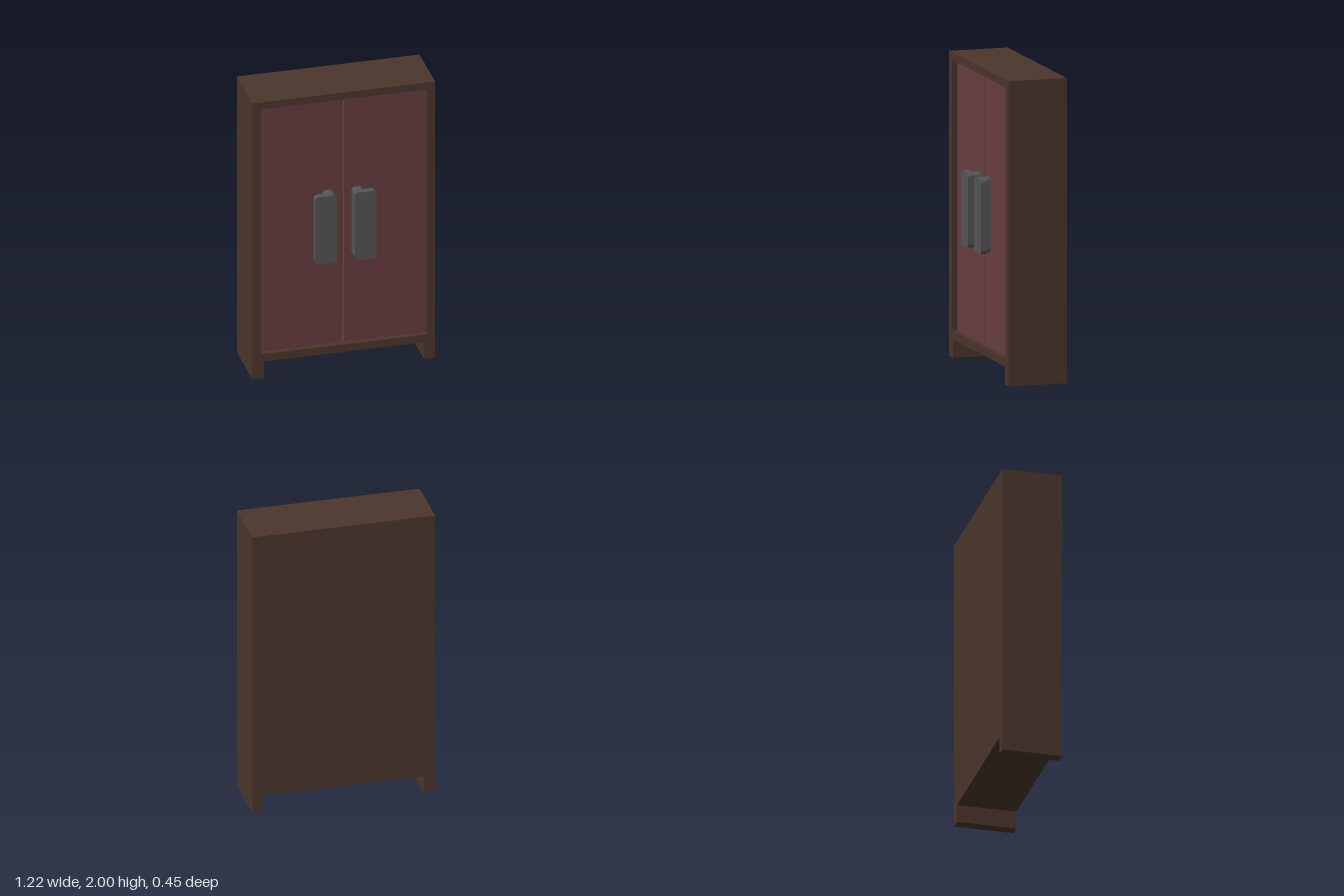
import * as THREE from 'three';

const wood = new THREE.MeshStandardMaterial({ color: 0x4b362c });
const red = new THREE.MeshStandardMaterial({ color: 0x683e40 });
const metal = new THREE.MeshStandardMaterial({ color: 0x555555 });

const W = 0.61, BACK = -0.225, FRONT = 0.172;      // carcass half width and depth limits
const IN = 0.555, LOW = 0.175, HIGH = 1.95;        // door opening
const DOOR_FRONT = 0.135;

function add(parent, name, geometry, material) {
  const mesh = new THREE.Mesh(geometry, material);
  mesh.name = name;
  parent.add(mesh);
  return mesh;
}

// Box given by its limits on each axis
function box(x0, x1, y0, y1, z0, z1) {
  return new THREE.BoxGeometry(x1 - x0, y1 - y0, z1 - z0)
    .translate((x0 + x1) / 2, (y0 + y1) / 2, (z0 + z1) / 2);
}

// Upright plate with rounded corners, extruded along z
function roundedPlate(x0, x1, y0, y1, z0, z1, r) {
  const s = new THREE.Shape();
  s.absarc(x1 - r, y0 + r, r, -Math.PI / 2, 0);
  s.absarc(x1 - r, y1 - r, r, 0, Math.PI / 2);
  s.absarc(x0 + r, y1 - r, r, Math.PI / 2, Math.PI);
  s.absarc(x0 + r, y0 + r, r, Math.PI, Math.PI * 1.5);
  return new THREE.ExtrudeGeometry(s, { depth: z1 - z0, bevelEnabled: false, curveSegments: 6 })
    .translate(0, 0, z0);
}

export function createModel() {
  const model = new THREE.Group();
  model.name = 'wardrobe';

  // Carcass outline with its feet and the door opening
  const outline = new THREE.Shape([
    [-W, 0], [-0.535, 0], [-0.535, 0.12], [0.535, 0.12], [0.535, 0], [W, 0], [W, 2], [-W, 2],
  ].map(([x, y]) => new THREE.Vector2(x, y)));
  const frame = (holes, z0, z1) => {
    outline.holes = holes;
    return new THREE.ExtrudeGeometry(outline, { depth: z1 - z0, bevelEnabled: false })
      .translate(0, 0, z0);
  };
  const opening = new THREE.Path([
    [-IN, LOW], [-IN, HIGH], [IN, HIGH], [IN, LOW],
  ].map(([x, y]) => new THREE.Vector2(x, y)));
  add(model, 'carcass', frame([opening], BACK, FRONT), wood);
  add(model, 'backPanel', box(-IN, IN, LOW, HIGH, BACK, BACK + 0.04), wood);

  // Two doors, each with an overhanging plate handle on a narrower stem
  for (const [side, s] of [['left', 1], ['right', -1]]) {
    const span = (a, b) => (s > 0 ? [a, b] : [-b, -a]);
    const door = new THREE.Group();
    door.name = side + 'Door';
    add(door, side + 'DoorPanel', box(...span(0.009, IN), LOW, HIGH, DOOR_FRONT - 0.045, DOOR_FRONT), red);
    add(door, side + 'HandleStem', roundedPlate(...span(0.06, 0.135), 0.8, 1.29, DOOR_FRONT, 0.185, 0.025), metal);
    add(door, side + 'HandlePlate', roundedPlate(...span(0.06, 0.205), 0.8, 1.29, 0.182, 0.225, 0.025), metal);
    model.add(door);
  }
  return model;
}
